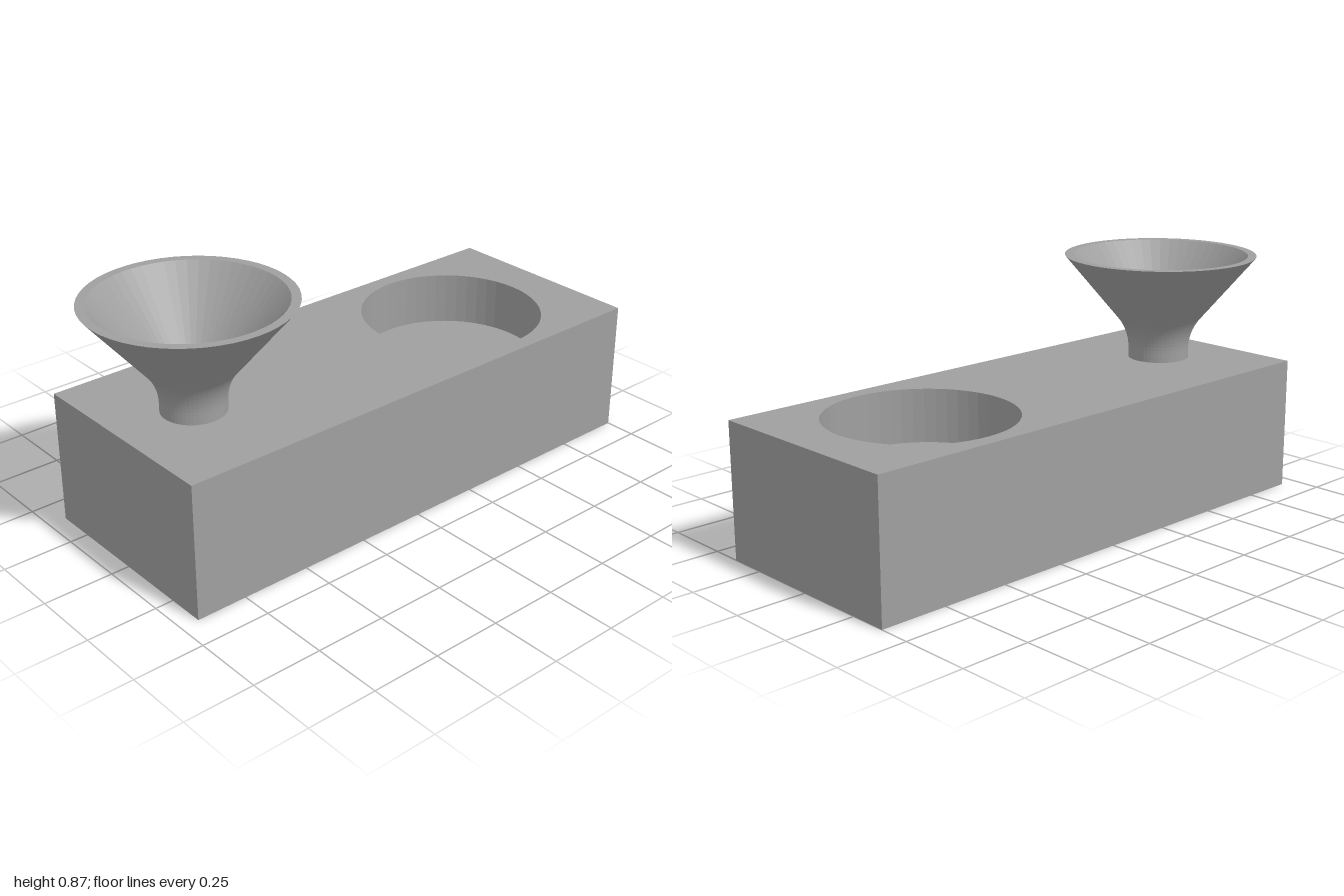
import * as THREE from 'three';

const TOP = 0.484, LEFT = -0.935, RIGHT = 1, HALF_DEPTH = 0.387;
const POCKET = { x: 0.515, r: 0.33, floor: 0.29 };
const FUNNEL = { x: -0.646, neck: 0.112, rim: 0.354, top: 0.872, wall: 0.032 };
const SEGMENTS = 52;

export function createModel() {
  const group = new THREE.Group();
  const material = new THREE.MeshStandardMaterial({ color: 0x9f9f9f, flatShading: true });
  const add = (name, geometry, x = 0, y = 0) => {
    const mesh = new THREE.Mesh(geometry, material);
    mesh.name = name;
    mesh.position.set(x, y, 0);
    group.add(mesh);
  };
  const v = (x, y) => new THREE.Vector2(x, y);

  // Block sides and underside: a box without its top face
  const box = new THREE.BoxGeometry(RIGHT - LEFT, TOP, HALF_DEPTH * 2);
  const faces = Array.from(box.index.array);
  faces.splice(12, 6);
  box.setIndex(faces);
  box.clearGroups();
  add('blockSides', box, (LEFT + RIGHT) / 2, TOP / 2);

  // Block top with the round pocket opening
  const outline = new THREE.Shape([
    v(LEFT, -HALF_DEPTH), v(RIGHT, -HALF_DEPTH), v(RIGHT, HALF_DEPTH), v(LEFT, HALF_DEPTH),
  ]);
  const opening = [];
  for (let i = 0; i < SEGMENTS; i++) {
    const a = (i / SEGMENTS) * Math.PI * 2;
    opening.push(v(POCKET.x + POCKET.r * Math.cos(a), POCKET.r * Math.sin(a)));
  }
  outline.holes.push(new THREE.Path(opening));
  add('blockTop', new THREE.ShapeGeometry(outline).rotateX(-Math.PI / 2), 0, TOP);

  // Pocket wall and floor
  add('pocket', new THREE.LatheGeometry(
    [v(POCKET.r, TOP), v(POCKET.r, POCKET.floor), v(0, POCKET.floor)], SEGMENTS), POCKET.x);

  // Funnel: straight neck, curved transition, straight cone, constant wall
  const bend = 0.185, bendStart = 0.517, bendAngle = 0.69;
  const outer = [v(FUNNEL.neck, TOP)];
  for (let i = 0; i <= 10; i++) {
    const a = (bendAngle * i) / 10;
    outer.push(v(FUNNEL.neck + bend * (1 - Math.cos(a)), bendStart + bend * Math.sin(a)));
  }
  outer.push(v(FUNNEL.rim, FUNNEL.top));
  const inner = outer.map((p) => v(p.x - FUNNEL.wall, p.y)).reverse();
  add('funnel', new THREE.LatheGeometry([...outer, ...inner], SEGMENTS), FUNNEL.x);

  return group;
}
